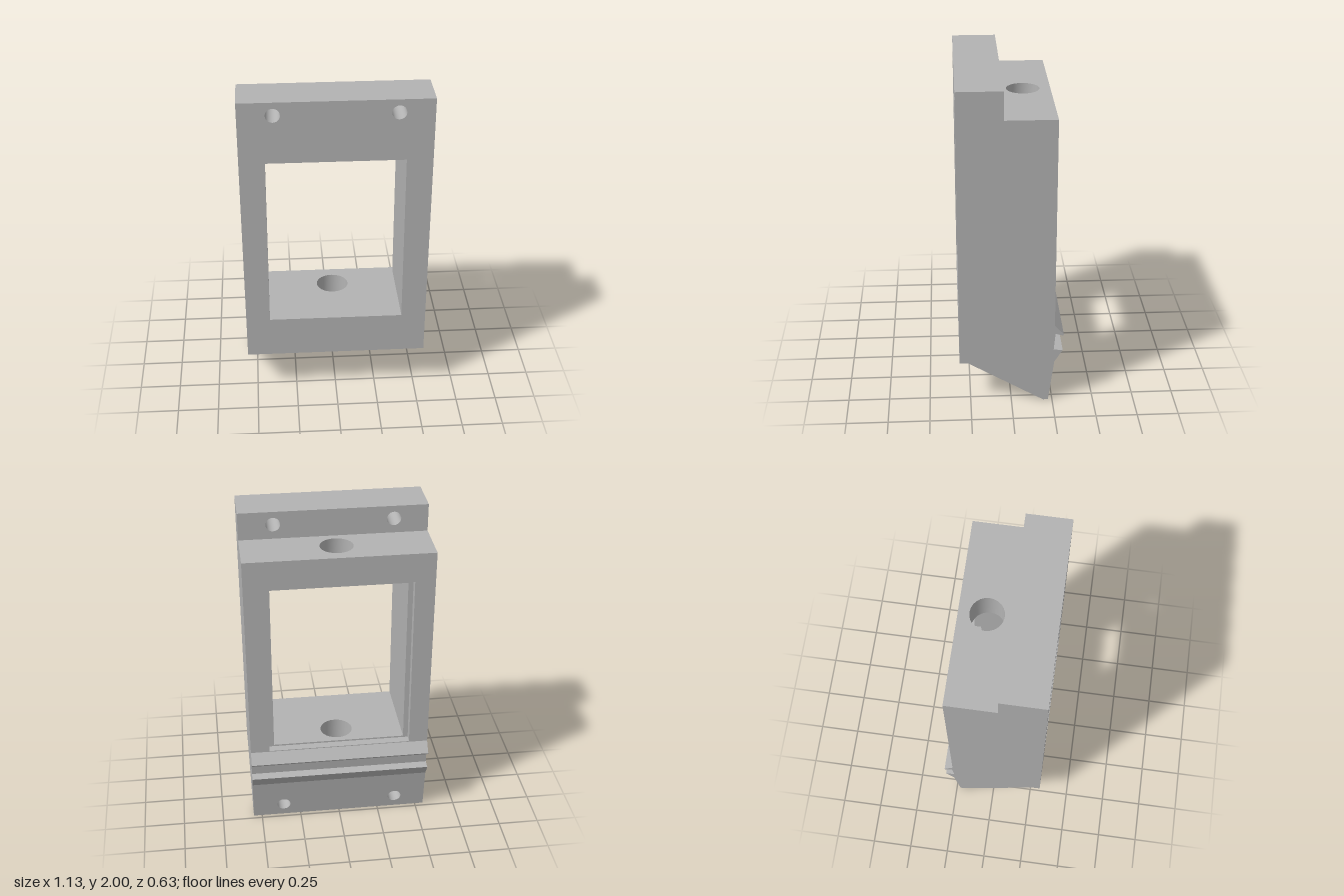
import * as THREE from 'three';

const grey = new THREE.MeshStandardMaterial({ color: 0xb3b3b3, side: THREE.DoubleSide });
grey.name = 'plain grey';

// Half width of the block, which widens slightly towards the top
const half = (y) => 0.553 + 0.006 * y;

// Side outline as [z, y, name of the face that starts here]
const PROFILE = [
  [0.315, 0.275, 'frontFace'], [0.315, 2, 'topFace'], [0.045, 2, 'flangeBack'],
  [0.045, 1.83, 'topLedge'], [-0.26, 1.83, 'backFace'], [-0.26, 0.52, 'upperLipTop'],
  [-0.315, 0.46, 'upperLipEdge'], [-0.31, 0.45, 'upperLipUnderside'], [-0.265, 0.465, 'clipGroove'],
  [-0.255, 0.355, 'lowerLipTop'], [-0.31, 0.35, 'lowerLipUnderside'], [-0.26, 0.27, 'lowerBack'],
  [-0.225, 0, 'footEdge'], [-0.195, 0, 'slopedUnderside'], [0.265, 0.275, 'frontBottomEdge'],
];
const edge = (name) => {
  const i = PROFILE.findIndex((p) => p[2] === name);
  return [PROFILE[i], PROFILE[(i + 1) % PROFILE.length]];
};

// Flat polygon with holes, facing the side from which its corners run anticlockwise
function facet(name, pts, rings = []) {
  const o = pts[0];
  const u = pts[1].clone().sub(o).normalize();
  const n = u.clone().cross(pts[2].clone().sub(pts[1])).normalize();
  const v = n.clone().cross(u);
  const flat = (p) => {
    const d = p.clone().sub(o);
    return new THREE.Vector2(d.dot(u), d.dot(v));
  };
  const shape = new THREE.Shape(pts.map(flat));
  rings.forEach((r) => shape.holes.push(new THREE.Path(r.map(flat))));
  const geo = new THREE.ShapeGeometry(shape);
  geo.applyMatrix4(new THREE.Matrix4().makeBasis(u, v, n).setPosition(o));
  const mesh = new THREE.Mesh(geo, grey);
  mesh.name = name;
  return mesh;
}

// Smooth inner wall of a bore between two rings
function boreWall(name, a, b) {
  const n = a.length;
  const index = [];
  for (let i = 0; i < n; i++) {
    const j = (i + 1) % n;
    index.push(i, n + i, n + j, i, n + j, j);
  }
  const geo = new THREE.BufferGeometry().setFromPoints([...a, ...b]);
  geo.setIndex(index);
  geo.computeVertexNormals();
  // Make the wall face the axis of the bore
  const normal = new THREE.Vector3().fromBufferAttribute(geo.attributes.normal, 0);
  const inward = a[n / 2].clone().sub(a[0]);
  if (normal.dot(inward) < 0) {
    geo.setIndex(index.reverse());
    geo.computeVertexNormals();
  }
  const mesh = new THREE.Mesh(geo, grey);
  mesh.name = name;
  return mesh;
}

// Ring where a bore meets the plane through two outline points
function ring(bore, [a, b]) {
  const nz = a[1] - b[1], ny = b[0] - a[0];
  const pts = [];
  for (let i = 0; i < 24; i++) {
    const t = (i / 24) * Math.PI * 2;
    const s = bore.r * Math.sin(t);
    const p = new THREE.Vector3(bore.x + bore.r * Math.cos(t), bore.y, bore.z);
    if (bore.vertical) p.z += s; else p.y += s;
    const k = (nz * (a[0] - p.z) + ny * (a[1] - p.y)) / (nz * bore.d.z + ny * bore.d.y);
    pts.push(p.addScaledVector(bore.d, k));
  }
  return pts;
}

export function createModel() {
  const model = new THREE.Group();
  model.name = 'mountingBlock';
  const V = (x, y, z) => new THREE.Vector3(x, y, z);
  const rect = (x0, y0, x1, y1) => [[x0, y0], [x1, y0], [x1, y1], [x0, y1]];
  const at = (pts, z) => pts.map(([x, y]) => V(x, y, z));

  // Through window with a wider shallow recess at the back
  const zFront = 0.315, zFloor = -0.21, zBack = -0.26;
  const windowRect = rect(-0.41, 0.535, 0.407, 1.62);
  const recessRect = rect(-0.44, 0.525, 0.44, 1.65);
  const sill = [[zFront, 0.535], [zFloor, 0.535]];
  const lintel = [[zFront, 1.62], [zFloor, 1.62]];

  // Bores: one slightly leaning vertical, two pairs of screw holes
  const cable = { x: 0, y: 0, z: -0.069, r: 0.1, d: V(0, 1, -0.0143), vertical: true };
  const holes = {
    frontFace: [at(windowRect, zFront)],
    flangeBack: [],
    backFace: [at(recessRect, zBack)],
    lowerBack: [],
    topLedge: [ring(cable, edge('topLedge'))],
    slopedUnderside: [ring(cable, edge('slopedUnderside'))],
  };
  const drill = (name, bore, from, to) => {
    const a = ring(bore, edge(from)), b = ring(bore, edge(to));
    holes[from].push(a);
    holes[to].push(b);
    model.add(boreWall(name, a, b));
  };
  for (const x of [-0.36, 0.358]) {
    drill('upperScrewHole', { x, y: 1.92, z: 0, r: 0.043, d: V(0, 0, 1) }, 'frontFace', 'flangeBack');
    drill('lowerScrewHole', { x, y: 0.085, z: -0.235, r: 0.042, d: V(0, 0.13, 1) }, 'lowerBack', 'slopedUnderside');
  }
  const sillRing = ring(cable, sill), lintelRing = ring(cable, lintel);
  model.add(boreWall('upperCableBore', lintelRing, holes.topLedge[0]));
  model.add(boreWall('lowerCableBore', holes.slopedUnderside[0], sillRing));

  // Outer faces swept across the width
  PROFILE.forEach(([z, y, name], i) => {
    const [z2, y2] = PROFILE[(i + 1) % PROFILE.length];
    const a = half(y), b = half(y2);
    model.add(facet(name, [V(-a, y, z), V(a, y, z), V(b, y2, z2), V(-b, y2, z2)], holes[name]));
  });

  // Side faces
  model.add(facet('rightSide', PROFILE.map(([z, y]) => V(-half(y), y, z))));
  model.add(facet('leftSide', PROFILE.map(([z, y]) => V(half(y), y, z)).reverse()));

  // Inner walls of the window and of the recess
  const lining = (name, r, z0, z1, rings = {}) => r.forEach(([x, y], i) => {
    const [x2, y2] = r[(i + 1) % 4];
    model.add(facet(name, [V(x, y, z0), V(x2, y2, z0), V(x2, y2, z1), V(x, y, z1)], rings[i]));
  });
  lining('windowWall', windowRect, zFront, zFloor, { 0: [sillRing], 2: [lintelRing] });
  lining('recessWall', recessRect, zFloor, zBack);
  model.add(facet('recessFloor', at(recessRect, zFloor).reverse(), [at(windowRect, zFloor)]));

  return model;
}
